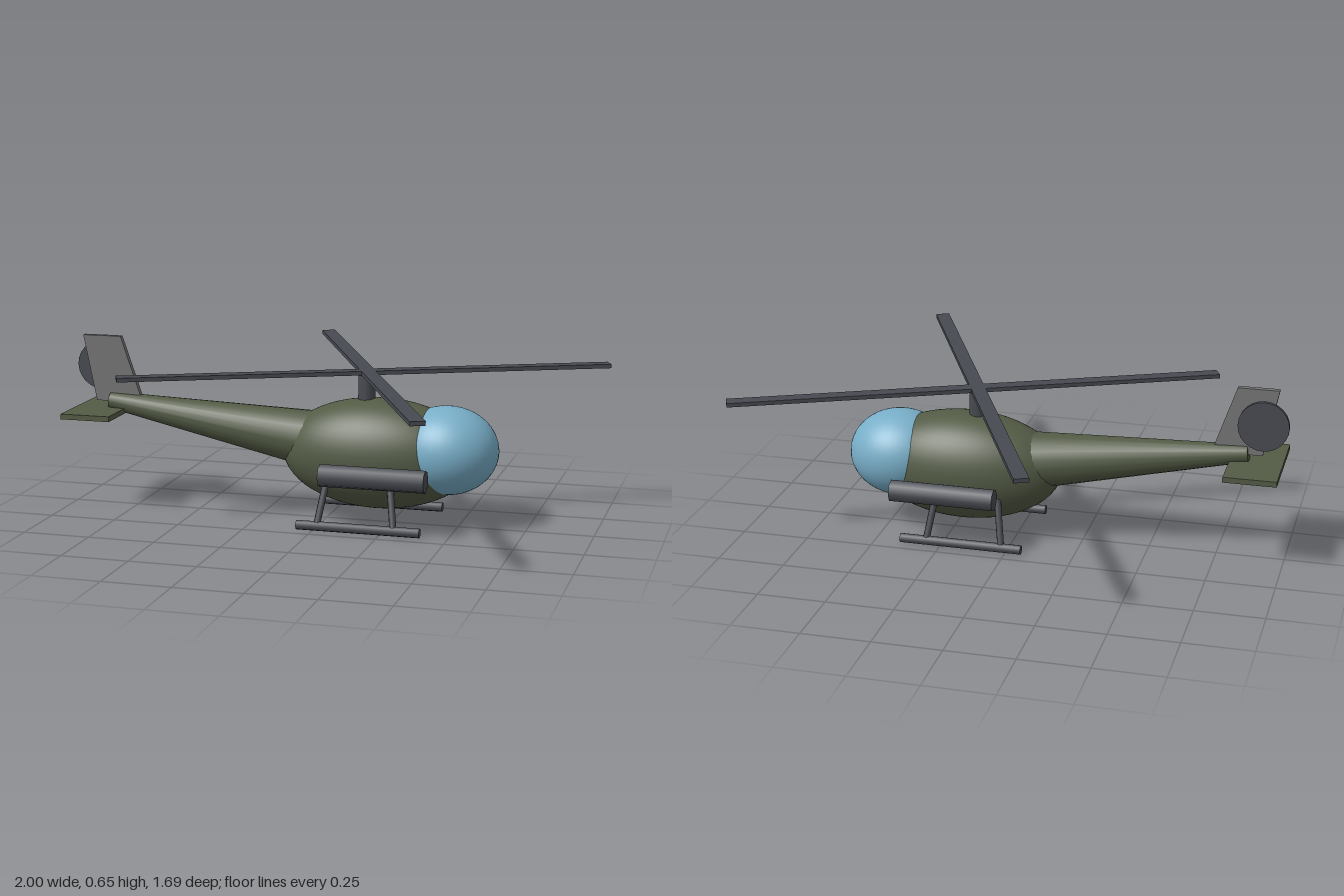
import * as THREE from 'three';

const mat = (name, color) => {
  const m = new THREE.MeshStandardMaterial({ color });
  m.name = name;
  return m;
};

export function createModel() {
  const group = new THREE.Group();
  const green = mat('olive green', 0x535b45);
  const glass = mat('canopy blue', 0x78aec8);
  const dark = mat('dark grey', 0x474a51);
  const grey = mat('fin grey', 0x757575);

  const add = (name, geometry, material, x = 0, y = 0, z = 0) => {
    const mesh = new THREE.Mesh(geometry, material);
    mesh.name = name;
    mesh.position.set(x, y, z);
    group.add(mesh);
    return mesh;
  };

  // Tapered round bar between two points
  const bar = (name, a, b, ra, rb, sides, material) => {
    const from = new THREE.Vector3(...a), to = new THREE.Vector3(...b);
    const dir = to.clone().sub(from);
    const mesh = add(name, new THREE.CylinderGeometry(rb, ra, dir.length(), sides), material);
    mesh.position.copy(from).add(to).multiplyScalar(0.5);
    mesh.quaternion.setFromUnitVectors(new THREE.Vector3(0, 1, 0), dir.normalize());
    return mesh;
  };

  // Body and glass nose
  add('fuselage', new THREE.SphereGeometry(1, 40, 28), green, 0.2, 0.26, 0).scale.set(0.365, 0.205, 0.185);
  add('canopy', new THREE.SphereGeometry(1, 40, 28), glass, 0.455, 0.285, 0).scale.set(0.191, 0.163, 0.172);

  // Tail
  bar('tailBoom', [-0.853, 0.402, 0], [-0.07, 0.3, 0], 0.032, 0.105, 20, green);
  add('tailplane', new THREE.BoxGeometry(0.192, 0.02, 0.38), green, -0.884, 0.367, 0);
  const finShape = new THREE.Shape([[-0.905, 0.4], [-0.72, 0.4], [-0.805, 0.65], [-0.955, 0.65]]
    .map(([x, y]) => new THREE.Vector2(x, y)));
  add('tailFin', new THREE.ExtrudeGeometry(finShape, { depth: 0.022, bevelEnabled: false }), grey, 0, 0, -0.011);
  add('tailRotor', new THREE.CylinderGeometry(0.092, 0.092, 0.015, 24), dark, -0.908, 0.527, -0.049)
    .rotation.x = Math.PI / 2;

  // Main rotor
  add('mast', new THREE.CylinderGeometry(0.032, 0.032, 0.13, 16), dark, 0.153, 0.488, 0);
  for (const i of [0, 1]) {
    add('rotorBlade' + (i + 1), new THREE.BoxGeometry(1.83, 0.015, 0.053), dark, 0.155, 0.56, 0)
      .rotation.y = THREE.MathUtils.degToRad(24.5 + 90 * i);
  }

  // Side pods and landing skids
  for (const [side, s] of [['left', -1], ['right', 1]]) {
    bar(side + 'Pod', [0.035, 0.214, s * 0.218], [0.425, 0.214, s * 0.218], 0.042, 0.042, 8, dark);
    bar(side + 'Skid', [-0.06, 0.018, s * 0.195], [0.4, 0.018, s * 0.195], 0.018, 0.018, 8, dark);
    bar(side + 'RearStrut', [0.016, 0.02, s * 0.195], [0.045, 0.21, s * 0.137], 0.013, 0.013, 8, dark);
    bar(side + 'FrontStrut', [0.302, 0.02, s * 0.195], [0.273, 0.21, s * 0.137], 0.013, 0.013, 8, dark);
  }
  return group;
}
